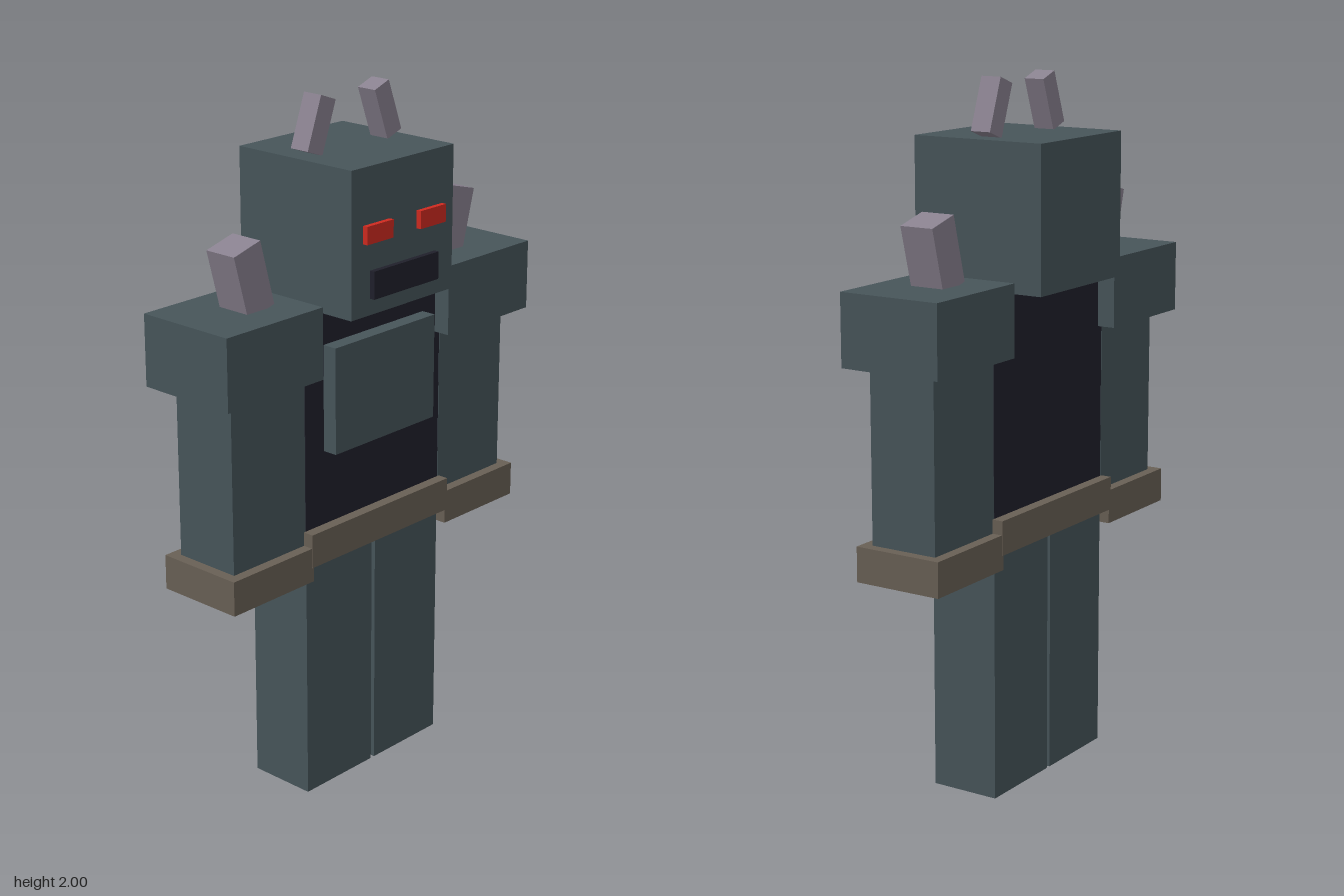
import * as THREE from 'three';

const mat = (name, color) => {
  const m = new THREE.MeshStandardMaterial({ color });
  m.name = name;
  return m;
};

export function createModel() {
  const slate = mat('slate', 0x47555a);
  const dark = mat('darkPlate', 0x20202b);
  const bronze = mat('bronze', 0x696055);
  const horn = mat('horn', 0x8a8290);
  const red = mat('glowRed', 0xd02a20);

  const model = new THREE.Group();
  model.name = 'armouredFigure';
  const Z = -0.008; // shared centre plane of the body

  const box = (name, material, [w, h, d], [x, y, z], tilt = 0) => {
    const mesh = new THREE.Mesh(new THREE.BoxGeometry(w, h, d), material);
    mesh.name = name;
    mesh.position.set(x, y, z);
    mesh.rotation.z = tilt;
    model.add(mesh);
  };

  // Head, trunk and belt
  box('head', slate, [0.41, 0.408, 0.41], [0, 1.633, Z]);
  box('mouth', dark, [0.262, 0.078, 0.02], [0, 1.514, 0.202]);
  box('torso', dark, [0.555, 0.71, 0.205], [0, 1.075, Z]);
  box('chestPlate', slate, [0.408, 0.306, 0.06], [0, 1.187, 0.109]);
  box('belt', bronze, [0.571, 0.098, 0.27], [0, 0.768, Z]);

  // Mirrored parts
  for (const s of [1, -1]) {
    const side = s > 0 ? 'left' : 'right';
    box(side + 'Eye', red, [0.104, 0.05, 0.02], [s * 0.107, 1.656, 0.202]);
    box(side + 'Horn', horn, [0.06, 0.153, 0.062], [s * 0.132, 1.917, Z + 0.001], s * THREE.MathUtils.degToRad(20));
    box(side + 'Leg', slate, [0.27, 0.72, 0.205], [s * 0.142, 0.36, Z]);
    box(side + 'Arm', slate, [0.277, 0.66, 0.205], [s * 0.418, 1.05, Z]);
    box(side + 'WristBand', bronze, [0.308, 0.1, 0.266], [s * 0.433, 0.727, Z]);
    box(side + 'ShoulderPad', slate, [0.356, 0.203, 0.308], [s * 0.436, 1.368, Z - 0.002]);
    box(side + 'ShoulderSpike', horn, [0.1, 0.19, 0.102], [s * 0.411, 1.555, Z], -s * THREE.MathUtils.degToRad(15));
  }
  return model;
}
